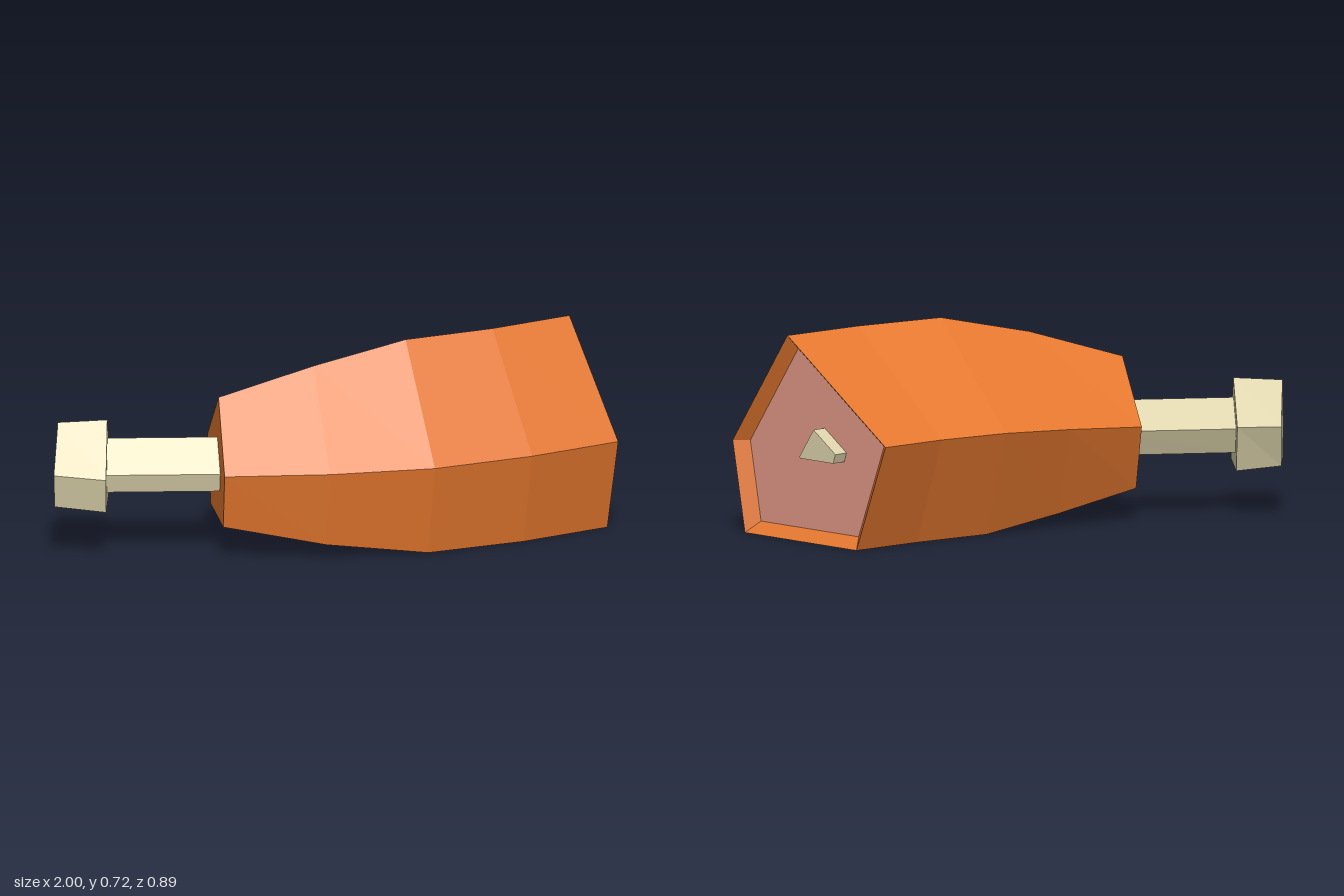
import * as THREE from 'three';

// Five-sided cross-section standing upright between a front corner F and a back corner B.
// F, B: [x, z]; y: heights [top, front corner, bottom, back corner];
// t: how far top, bottom-front and bottom-back sit along F -> B.
function ring(F, B, y, t = [0.358, 0.08, 0.81]) {
  const at = (k, h) => new THREE.Vector3(F[0] + (B[0] - F[0]) * k, h, F[1] + (B[1] - F[1]) * k);
  return [at(t[0], y[0]), at(0, y[1]), at(t[1], y[2]), at(t[2], y[2]), at(1, y[3])];
}

// Faceted skin through rings ordered towards +x, with optional end caps.
function loft(rings, startCap = true, endCap = true) {
  const pos = [];
  const tri = (...vs) => vs.forEach((v) => pos.push(v.x, v.y, v.z));
  for (let i = 0; i + 1 < rings.length; i++) {
    const a = rings[i], b = rings[i + 1];
    for (let j = 0; j < 5; j++) {
      const k = (j + 1) % 5;
      tri(a[j], a[k], b[k]);
      tri(a[j], b[k], b[j]);
    }
  }
  const first = rings[0], last = rings[rings.length - 1];
  for (let j = 1; j < 4; j++) {
    if (startCap) tri(first[0], first[j + 1], first[j]);
    if (endCap) tri(last[0], last[j], last[j + 1]);
  }
  const g = new THREE.BufferGeometry();
  g.setAttribute('position', new THREE.Float32BufferAttribute(pos, 3));
  g.computeVertexNormals();
  return g;
}

export function createModel() {
  const skin = new THREE.MeshStandardMaterial({ color: 0xe6782f });
  const meat = new THREE.MeshStandardMaterial({ color: 0xe09885 });
  const bone = new THREE.MeshStandardMaterial({ color: 0xddd3ab });
  skin.name = 'roasted skin';
  meat.name = 'pink meat';
  bone.name = 'bone';

  const model = new THREE.Group();
  const add = (name, geometry, material) => {
    const m = new THREE.Mesh(geometry, material);
    m.name = name;
    model.add(m);
  };

  // Curved body, ending in a bevelled rim that slopes into the cut
  const body = [
    ring([-0.435, 0.325], [-0.385, -0.125], [0.55, 0.305, 0.115, 0.345]),
    ring([-0.08, 0.42], [-0.09, -0.21], [0.65, 0.315, 0.05, 0.365]),
    ring([0.29, 0.445], [0.18, -0.30], [0.72, 0.32, 0.003, 0.38]),
    ring([0.66, 0.36], [0.44, -0.36], [0.72, 0.32, 0, 0.38]),
    ring([1.0, 0.235], [0.68, -0.45], [0.72, 0.32, 0, 0.38]),
  ];
  const cutNormal = new THREE.Vector3(0.906, 0, -0.423);
  const centre = new THREE.Vector3(0.84, 0.325, -0.1075);
  const cut = body[4].map((v) => v.clone().lerp(centre, 0.125).addScaledVector(cutNormal, -0.04));
  add('body', loft([...body, cut], true, false), skin);

  // Recessed cut face
  add('cutFace', loft([cut], false, true), meat);

  // Bone stub poking out of the cut
  const stubEnd = ring([0.867, -0.085], [0.792, -0.245], [0.405, 0.303, 0.297, 0.33], [0.39, 0.01, 0.94]);
  const stubRoot = stubEnd.map((v) => v.clone().addScaledVector(cutNormal, -0.07));
  add('boneStub', loft([stubRoot, stubEnd]), bone);

  // Bone shaft
  const shaftY = [0.40, 0.285, 0.22, 0.31];
  add('boneShaft', loft([
    ring([-0.815, 0.13], [-0.76, -0.075], shaftY),
    ring([-0.37, 0.222], [-0.32, 0.015], shaftY),
  ]), bone);

  // Bone knob
  add('boneKnob', loft([
    ring([-1.0, 0.13], [-0.885, -0.17], [0.458, 0.295, 0.177, 0.325]),
    ring([-0.83, 0.20], [-0.735, -0.135], [0.468, 0.285, 0.163, 0.325], [0.4, 0.08, 0.84]),
  ]), bone);

  return model;
}
